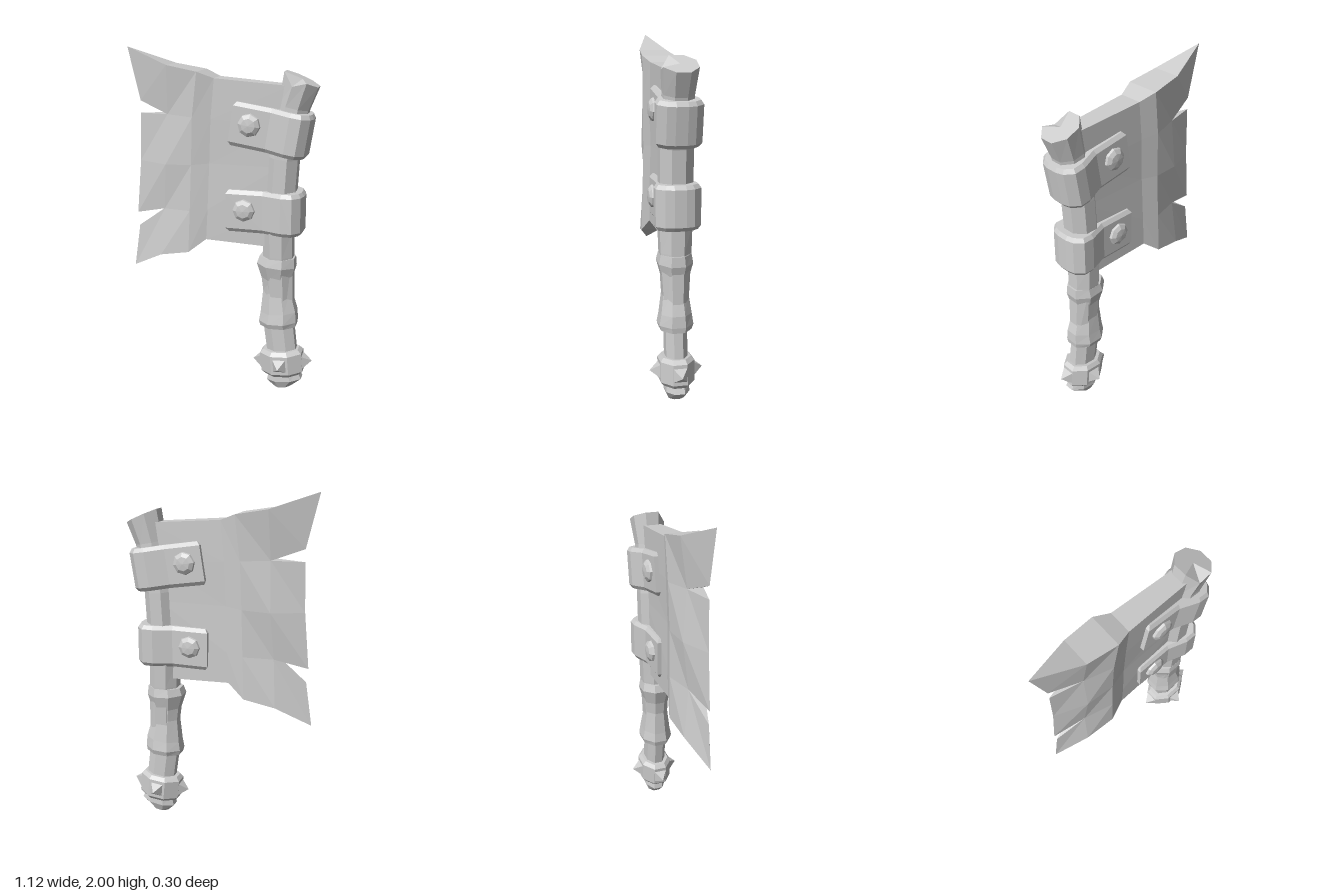
import * as THREE from 'three';

const mat = new THREE.MeshStandardMaterial({ color: 0xcccccc, flatShading: true });

function addMesh(parent, name, geometry) {
  const mesh = new THREE.Mesh(geometry, mat);
  mesh.name = name;
  parent.add(mesh);
  return mesh;
}

// Flat faceted geometry from a list of corner points, three per triangle
function facets(points) {
  const g = new THREE.BufferGeometry();
  g.setAttribute('position', new THREE.Float32BufferAttribute(points.flat(), 3));
  g.computeVertexNormals();
  return g;
}

// Octagonal loft; each ring is [x, y, tilt, half width in x, half width in z]
function loft(rings, chip = 0) {
  const n = 8, k = 1 / Math.cos(Math.PI / n), tris = [];
  const loops = rings.map(([x, y, tilt, rx, rz]) => Array.from({ length: n }, (_, i) => {
    const a = ((i + 0.5) / n) * Math.PI * 2;
    const u = rx * k * Math.cos(a);
    return [x + u * Math.cos(tilt), y + u * Math.sin(tilt), rz * k * Math.sin(a)];
  }));
  const last = loops.length - 1;
  loops[last][2][1] -= chip;
  for (let i = 0; i < n; i++) {
    const j = (i + 1) % n;
    for (let r = 0; r < last; r++) {
      const [a, b, c, d] = [loops[r][i], loops[r][j], loops[r + 1][i], loops[r + 1][j]];
      tris.push(a, c, b, b, c, d);
    }
    tris.push([rings[0][0], rings[0][1], 0], loops[0][i], loops[0][j]);
    tris.push([rings[last][0], rings[last][1], 0], loops[last][j], loops[last][i]);
  }
  return facets(tris);
}

// Notched blade: thick spine, bulged middle and a sharp outer edge
function bladeGeometry() {
  // rows run top to bottom, columns from the edge bevel to the handle
  const grid = [
    [[-0.30, 1.91, 0.08], [-0.12, 1.88, 0.095], [-0.03, 1.845, 0.065], [0.39, 1.815, 0.05]],
    [[-0.31, 1.635, 0.045], [-0.15, 1.63, 0.09], [-0.05, 1.62, 0.065], [0.36, 1.6, 0.05]],
    [[-0.32, 1.35, 0.07], [-0.16, 1.36, 0.085], [-0.06, 1.37, 0.06], [0.34, 1.37, 0.05]],
    [[-0.34, 1.08, 0.045], [-0.17, 1.09, 0.09], [-0.07, 1.1, 0.065], [0.32, 1.1, 0.05]],
    [[-0.36, 0.80, 0.075], [-0.18, 0.84, 0.095], [-0.08, 0.92, 0.065], [0.30, 0.905, 0.05]],
  ];
  // outer edge of each segment between rows: [upper, lower]
  const edge = [
    [[-0.56, 2.0, 0], [-0.49, 1.70, 0]],
    [[-0.49, 1.63, 0], [-0.50, 1.35, 0]],
    [[-0.50, 1.35, 0], [-0.53, 1.03, 0]],
    [[-0.52, 0.95, 0], [-0.56, 0.69, 0]],
  ];
  const tris = [], outline = [];
  const back = ([x, y, z]) => [x, y, -z];
  const face = (a, b, c, d) => {
    tris.push(a, b, d, b, c, d);
    tris.push(...[a, d, b, b, d, c].map(back));
  };
  edge.forEach(([upper, lower], r) => {
    face(upper, lower, grid[r + 1][0], grid[r][0]);
    for (let c = 0; c < 3; c++) face(grid[r][c], grid[r + 1][c], grid[r + 1][c + 1], grid[r][c + 1]);
    outline.push(upper, lower);
    if (r !== 1 && r < 3) outline.push(grid[r + 1][0]);
  });
  outline.push(...grid[4], grid[3][3], grid[2][3], grid[1][3], ...grid[0].slice().reverse());
  // rim joining front and back
  outline.forEach((p, i) => {
    const q = outline[(i + 1) % outline.length];
    tris.push(p, back(p), back(q), p, back(q), q);
  });
  return facets(tris);
}

// Strap wrapping the handle, riveted through the blade on both sides
function makeStrap(name, x, y, tilt, rivetX) {
  const group = new THREE.Group();
  group.name = name;
  const half = [[-0.2, 0.07], [0.0, 0.07], [0.11, 0.107], [0.165, 0.107], [0.2, 0.07], [0.21, 0.03]];
  const profile = [...half, ...half.map(([px, pz]) => [px, -pz]).reverse()];
  const shape = new THREE.Shape(profile.map(([px, pz]) => new THREE.Vector2(px, pz)));
  const band = new THREE.ExtrudeGeometry(shape, {
    depth: 0.2, bevelEnabled: true, bevelSize: 0.015, bevelThickness: 0.022, bevelSegments: 1,
  });
  band.translate(0, 0, -0.1).rotateX(-Math.PI / 2);
  addMesh(group, 'strapBand', band);
  const dome = [[0.066, 0], [0.062, 0.016], [0.04, 0.03], [0, 0.034]].map(p => new THREE.Vector2(...p));
  for (const side of [1, -1]) {
    const rivet = addMesh(group, 'rivet', new THREE.LatheGeometry(dome, 8));
    rivet.rotation.x = side * Math.PI / 2;
    rivet.position.set(rivetX, 0.01, side * 0.082);
  }
  group.position.set(x, y, 0);
  group.rotation.z = tilt;
  return group;
}

// Pommel collar with four pyramid spikes
function makeCollar() {
  const group = new THREE.Group();
  group.name = 'pommelCollar';
  addMesh(group, 'collarRing', loft([
    [0, -0.08, 0, 0.105, 0.078], [0, -0.058, 0, 0.125, 0.095],
    [0, 0.058, 0, 0.125, 0.095], [0, 0.08, 0, 0.105, 0.078],
  ]));
  for (let i = 0; i < 4; i++) {
    const pivot = new THREE.Group();
    pivot.name = 'spikeMount';
    const cone = new THREE.ConeGeometry(0.058, 0.06, 4);
    cone.rotateY(Math.PI / 4).rotateX(Math.PI / 2);
    addMesh(pivot, 'spike', cone).position.z = i % 2 ? 0.15 : 0.12;
    pivot.rotation.y = i * Math.PI / 2;
    group.add(pivot);
  }
  group.position.set(0.378, 0.178, 0);
  group.rotation.z = 0.1;
  return group;
}

export function createModel() {
  const model = new THREE.Group();
  model.name = 'cleaverAxe';

  addMesh(model, 'blade', bladeGeometry());

  // Crooked shaft with a slanted, chipped top
  addMesh(model, 'shaft', loft([
    [0.395, 0.1, 0.1, 0.085, 0.06], [0.353, 0.41, 0.1, 0.088, 0.06],
    [0.34, 0.85, 0, 0.085, 0.085], [0.335, 1.0, 0, 0.085, 0.09],
    [0.355, 1.42, -0.1, 0.085, 0.09], [0.405, 1.7, -0.2, 0.083, 0.08],
    [0.445, 1.85, -0.41, 0.1, 0.093],
  ], 0.05));

  // Wrapped grip with a narrow waist
  addMesh(model, 'grip', loft([
    [0.35, 0.41, 0.05, 0.105, 0.085], [0.348, 0.44, 0.05, 0.11, 0.095],
    [0.35, 0.5, 0.1, 0.104, 0.085], [0.338, 0.63, 0, 0.08, 0.068],
    [0.332, 0.7, -0.1, 0.085, 0.072], [0.33, 0.79, -0.06, 0.11, 0.095],
    [0.335, 0.84, 0, 0.1, 0.085],
  ]));

  addMesh(model, 'pommel', loft([
    [0.385, 0.009, 0.15, 0.05, 0.045], [0.395, 0.06, 0.15, 0.105, 0.066],
    [0.39, 0.12, 0.1, 0.085, 0.06],
  ]));

  model.add(makeCollar());
  model.add(makeStrap('upperStrap', 0.282, 1.575, -0.15, -0.11));
  model.add(makeStrap('lowerStrap', 0.258, 1.11, 0.01, -0.108));
  return model;
}
